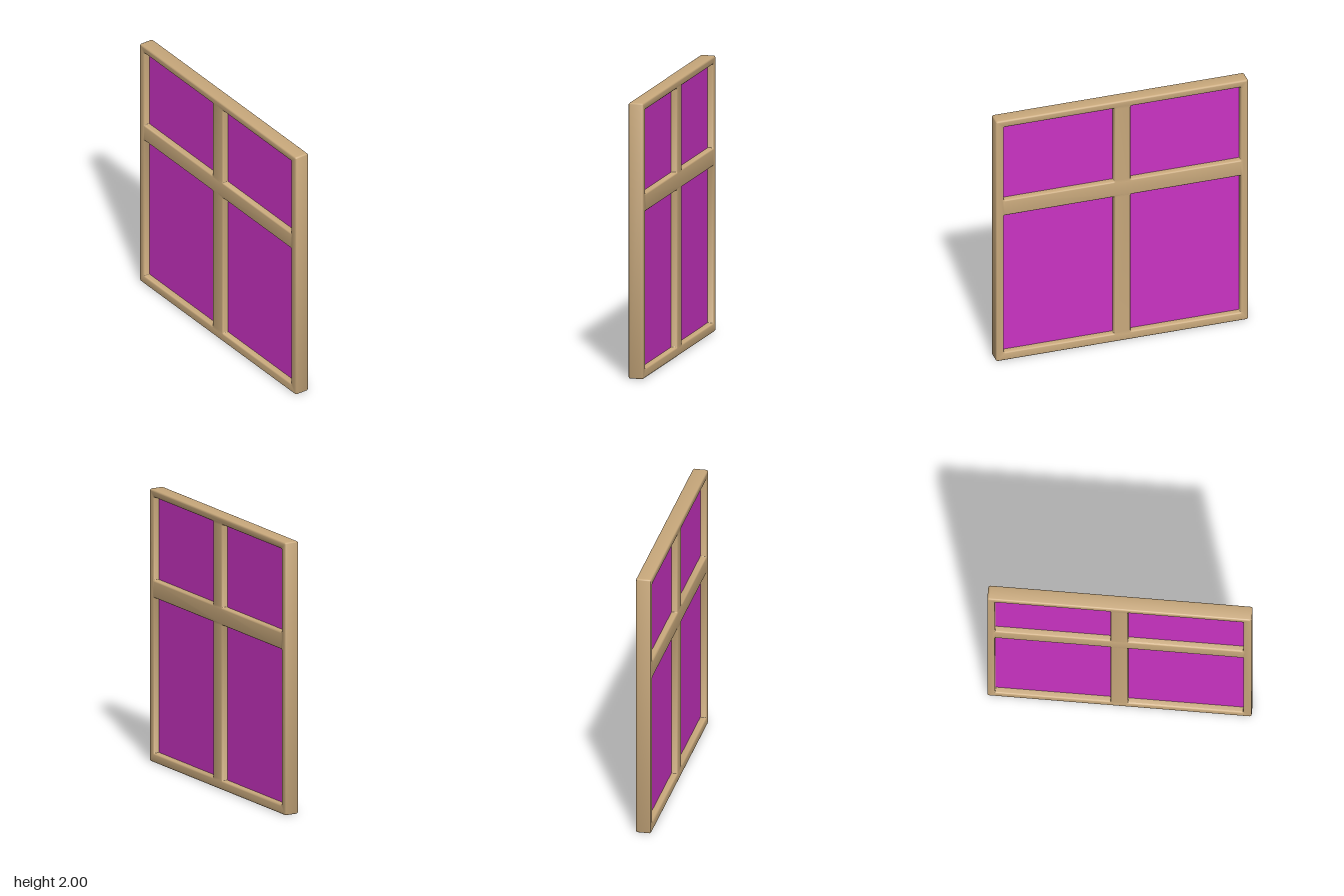
import * as THREE from 'three';
import { toCreasedNormals } from 'three/addons/utils/BufferGeometryUtils.js';

const HALF_WIDTH = 0.945, HEIGHT = 2, DEPTH = 0.11, BEVEL = 0.012;

// Openings as [name, x0, x1, y0, y1]
const OPENINGS = [
  ['lowerRightPane', -0.888, -0.063, 0.068, 1.208],
  ['lowerLeftPane', 0.06, 0.885, 0.068, 1.208],
  ['upperRightPane', -0.888, -0.063, 1.337, 1.945],
  ['upperLeftPane', 0.06, 0.885, 1.337, 1.945],
];

// Traces a rectangle with softened corners
function roundedRect(path, x0, x1, y0, y1, r) {
  path.moveTo(x0 + r, y0);
  path.lineTo(x1 - r, y0);
  path.quadraticCurveTo(x1, y0, x1, y0 + r);
  path.lineTo(x1, y1 - r);
  path.quadraticCurveTo(x1, y1, x1 - r, y1);
  path.lineTo(x0 + r, y1);
  path.quadraticCurveTo(x0, y1, x0, y1 - r);
  path.lineTo(x0, y0 + r);
  path.quadraticCurveTo(x0, y0, x0 + r, y0);
  return path;
}

export function createModel() {
  const wood = new THREE.MeshStandardMaterial({ color: 0xc9a97c });
  wood.name = 'wood';
  const glass = new THREE.MeshStandardMaterial({ color: 0xcb33c4 });
  glass.name = 'magentaGlass';

  const model = new THREE.Group();
  model.name = 'window';

  // Frame with its cross bars, soft-edged on both faces
  const outline = roundedRect(new THREE.Shape(), -HALF_WIDTH, HALF_WIDTH, 0, HEIGHT, 0.018);
  for (const [, x0, x1, y0, y1] of OPENINGS) {
    outline.holes.push(roundedRect(new THREE.Path(), x0, x1, y0, y1, 0.008));
  }
  const frameGeometry = new THREE.ExtrudeGeometry(outline, {
    depth: DEPTH - 2 * BEVEL,
    bevelSize: BEVEL,
    bevelThickness: BEVEL,
    bevelOffset: -BEVEL,
    bevelSegments: 3,
    curveSegments: 4,
  });
  frameGeometry.translate(0, 0, BEVEL - DEPTH / 2);
  const frame = new THREE.Mesh(toCreasedNormals(frameGeometry, 0.7), wood);
  frame.name = 'frame';
  model.add(frame);

  // Panes, let slightly into the frame
  for (const [name, x0, x1, y0, y1] of OPENINGS) {
    const pane = new THREE.Mesh(new THREE.BoxGeometry(x1 - x0 + 0.02, y1 - y0 + 0.02, 0.02), glass);
    pane.position.set((x0 + x1) / 2, (y0 + y1) / 2, 0);
    pane.name = name;
    model.add(pane);
  }
  return model;
}
